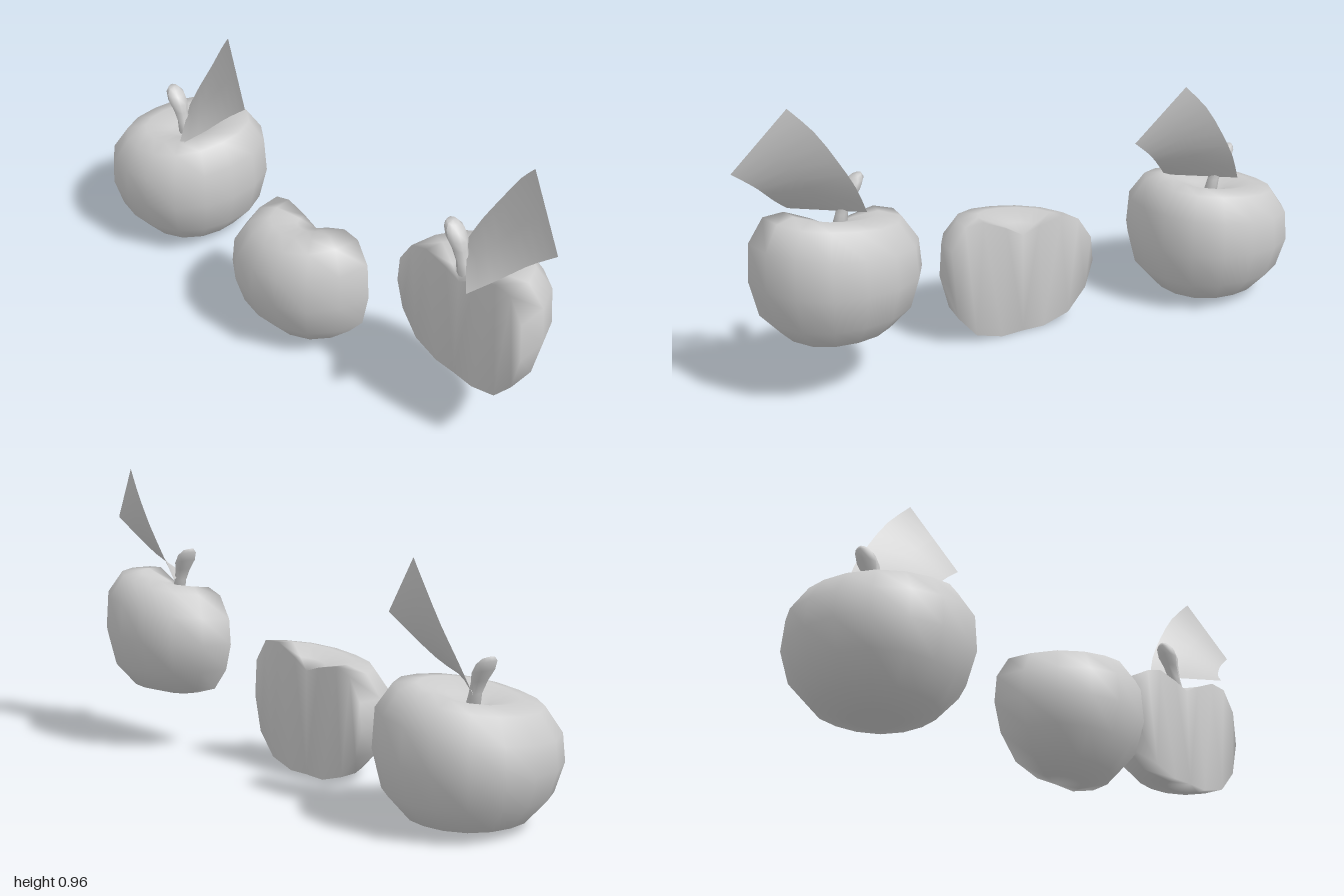
import * as THREE from 'three';
import { mergeVertices } from 'three/addons/utils/BufferGeometryUtils.js';

const grey = new THREE.MeshStandardMaterial({ color: 0xcccccc });
const thin = new THREE.MeshStandardMaterial({ color: 0xcccccc, side: THREE.DoubleSide });

// Fruit outline (radius, height) from bottom centre to dimple
const PROFILE = [
  [0, 0.012], [0.08, 0.01], [0.175, 0.038], [0.242, 0.115], [0.27, 0.22],
  [0.262, 0.325], [0.212, 0.4], [0.145, 0.413], [0.06, 0.385], [0, 0.358],
];

function indexedGeometry(positions, index) {
  const geo = new THREE.BufferGeometry();
  geo.setAttribute('position', new THREE.Float32BufferAttribute(positions, 3));
  geo.setIndex(index);
  const merged = mergeVertices(geo, 1e-4);
  merged.computeVertexNormals();
  return merged;
}

// Revolved, slightly square fruit with a tilted rim; a partial sweep gets a flat cut face
function fruitGeometry(start, sweep, segments) {
  const pos = [], index = [];
  const last = PROFILE.length - 1;
  const row = segments + 1;
  const id = (j, i) => j * row + i;
  for (const [r, y] of PROFILE) {
    for (let i = 0; i <= segments; i++) {
      const a = start + (sweep * i) / segments;
      const square = 1 + 0.02 * (1 - Math.cos(4 * a));
      const rise = THREE.MathUtils.smoothstep(y, 0.1, 0.4) * (r / 0.21);
      const tilt = rise * (0.029 * Math.cos(a) - 0.015 * Math.sin(a));
      pos.push(r * square * Math.cos(a), y + tilt, r * square * Math.sin(a));
    }
  }
  for (let j = 0; j < last; j++) {
    for (let i = 0; i < segments; i++) {
      const a = id(j, i), b = id(j, i + 1), c = id(j + 1, i + 1), d = id(j + 1, i);
      if (j < last - 1) index.push(a, d, c);
      if (j > 0) index.push(a, c, b);
    }
  }
  // Cut face: upright strips joining the lower outline to the upper outline
  if (sweep < 6) {
    for (let k = 0; k < last / 2 - 0.5; k++) {
      for (const i of [0, segments]) {
        const bl = id(k, i), br = id(k + 1, i), tr = id(last - k - 1, i), tl = id(last - k, i);
        if (i === 0) index.push(bl, tl, tr, bl, tr, br);
        else index.push(bl, tr, tl, bl, br, tr);
      }
    }
  }
  return indexedGeometry(pos, index);
}

// Bent stem with a knobbed end
function stemGeometry() {
  const outline = [[0, 0], [0.024, 0], [0.02, 0.06], [0.025, 0.1], [0.034, 0.13], [0.031, 0.155], [0.018, 0.168], [0, 0.17]];
  const geo = new THREE.LatheGeometry(outline.map(([r, y]) => new THREE.Vector2(r, y)), 10);
  const p = geo.attributes.position;
  for (let i = 0; i < p.count; i++) {
    const t = p.getY(i) / 0.17;
    p.setX(i, p.getX(i) - 0.065 * Math.pow(t, 1.5));
    p.setY(i, p.getY(i) - p.getX(i) * 0.3 * t - 0.02 * t);
  }
  geo.computeVertexNormals();
  return geo;
}

// Curved leaf sheet stretched between two edge curves
function leafGeometry() {
  const edge = (pts) => new THREE.CatmullRomCurve3(pts.map((p) => new THREE.Vector3(...p)));
  const left = edge([[-0.08, 0.42, -0.065], [-0.04, 0.51, -0.085], [0.02, 0.61, -0.097], [0.09, 0.715, -0.095], [0.16, 0.79, -0.075]]);
  const right = edge([[0.105, 0.41, 0.108], [0.17, 0.47, 0.045], [0.24, 0.54, 0.002], [0.32, 0.605, -0.023]]);
  const rows = 8, cols = 2, pos = [], index = [];
  for (let j = 0; j <= rows; j++) {
    const a = left.getPoint(j / rows), b = right.getPoint(j / rows);
    for (let i = 0; i <= cols; i++) pos.push(...a.clone().lerp(b, i / cols).toArray());
  }
  for (let j = 0; j < rows; j++) {
    for (let i = 0; i < cols; i++) {
      const a = j * (cols + 1) + i, d = a + cols + 1;
      index.push(a, a + 1, d + 1, a, d + 1, d);
    }
  }
  return indexedGeometry(pos, index);
}

function mesh(name, geo, mat = grey) {
  const m = new THREE.Mesh(geo, mat);
  m.name = name;
  return m;
}

// Stem and leaf together
function stalk() {
  const g = new THREE.Group();
  g.name = 'stalk';
  const stem = mesh('stem', stemGeometry());
  stem.position.set(-0.012, 0.352, 0);
  g.add(stem, mesh('leaf', leafGeometry(), thin));
  return g;
}

export function createModel() {
  const model = new THREE.Group();
  model.name = 'apples';

  // Whole apple
  const whole = new THREE.Group();
  whole.name = 'wholeApple';
  whole.add(mesh('wholeFruit', fruitGeometry(0, Math.PI * 2, 16)), stalk());
  whole.position.set(-0.73, 0, 0);

  // Front half, cut side to the back
  const front = mesh('frontHalf', fruitGeometry(0, Math.PI, 8));
  front.position.set(0.005, 0, 0);

  // Raised back half, cut side to the front, keeping the stalk
  const back = new THREE.Group();
  back.name = 'backHalfApple';
  const backStalk = stalk();
  backStalk.position.z = -0.035;
  back.add(mesh('backHalf', fruitGeometry(Math.PI, Math.PI, 8)), backStalk);
  back.position.set(0.68, 0.18, 0);

  model.add(whole, front, back);
  return model;
}
